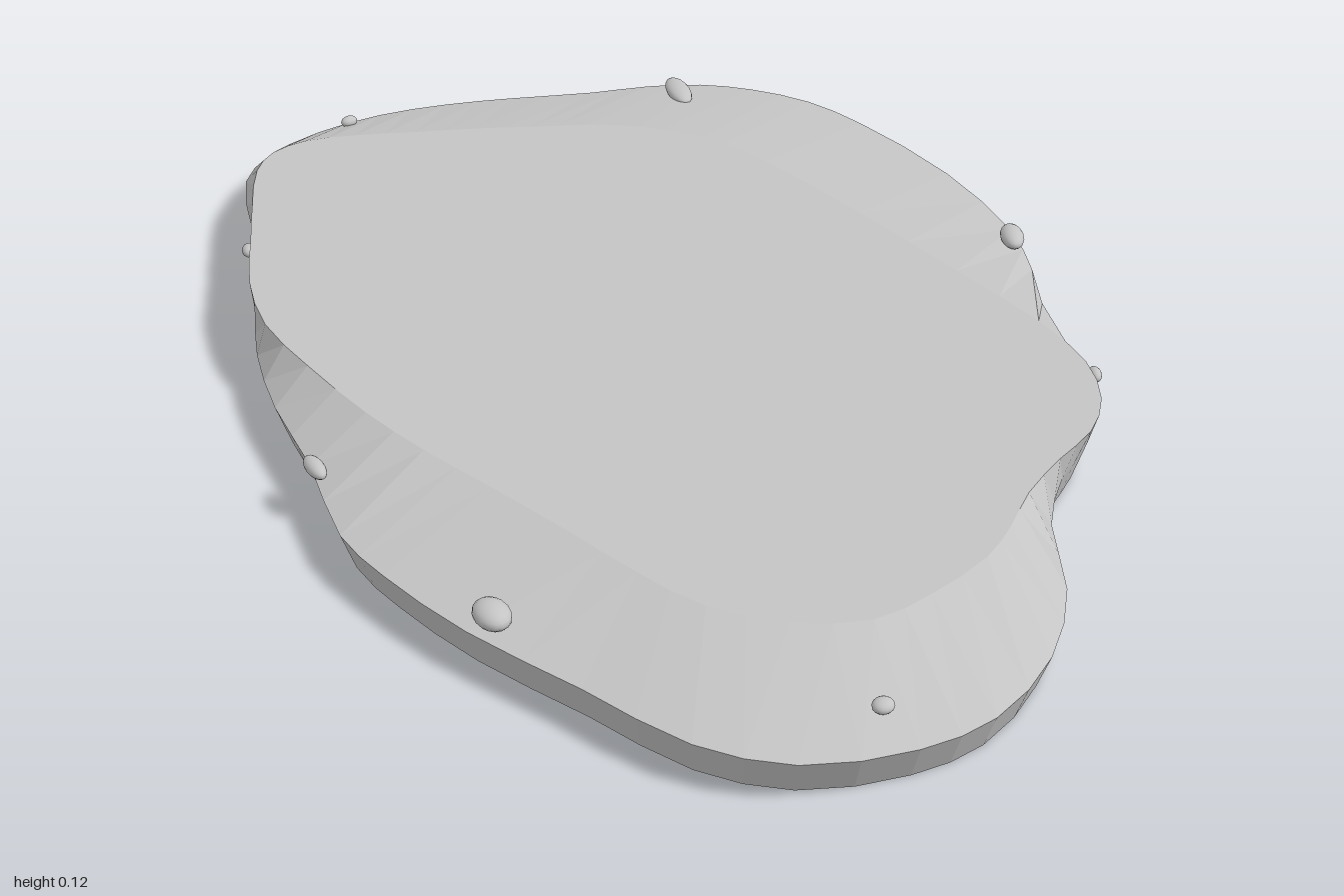
import * as THREE from 'three';

// paired outline points: rim x, rim z, plateau x, plateau z
const OUTLINE = [
  [-0.37, -0.755, -0.3, -0.45], [-0.5, -0.745, -0.4, -0.44], [-0.61, -0.7, -0.48, -0.41],
  [-0.69, -0.64, -0.55, -0.37], [-0.75, -0.56, -0.62, -0.3], [-0.8, -0.46, -0.68, -0.22],
  [-0.88, -0.33, -0.74, -0.14], [-0.94, -0.22, -0.8, -0.05], [-0.985, -0.1, -0.86, 0.04],
  [-1, 0.03, -0.9, 0.12], [-0.98, 0.15, -0.9, 0.19], [-0.92, 0.24, -0.86, 0.25],
  [-0.77, 0.325, -0.76, 0.325], [-0.66, 0.385, -0.65, 0.4], [-0.52, 0.48, -0.53, 0.48],
  [-0.4, 0.555, -0.4, 0.535], [-0.25, 0.62, -0.25, 0.555], [-0.08, 0.67, -0.08, 0.565],
  [0.1, 0.74, 0.06, 0.56], [0.22, 0.75, 0.2, 0.545], [0.4, 0.74, 0.36, 0.53],
  [0.6, 0.7, 0.5, 0.52], [0.78, 0.665, 0.62, 0.5], [0.9, 0.59, 0.72, 0.44],
  [0.98, 0.45, 0.79, 0.35], [1, 0.33, 0.8, 0.25], [0.96, 0.18, 0.79, 0.13],
  [0.87, 0.05, 0.76, 0.05], [0.75, -0.05, 0.72, -0.03], [0.68, -0.15, 0.69, -0.13],
  [0.64, -0.25, 0.67, -0.22], [0.55, -0.35, 0.62, -0.3], [0.4, -0.44, 0.53, -0.365],
  [0.22, -0.585, 0.4, -0.4], [0.1, -0.66, 0.2, -0.42], [-0.12, -0.73, -0.05, -0.44],
];
const STEPS = 72;

// smooth closed ring through one of the two outlines
function ring(offset, y, sx = 1, sz = 1) {
  const pts = OUTLINE.map((p) => new THREE.Vector3(p[offset] * sx, y, p[offset + 1] * sz));
  const curve = new THREE.CatmullRomCurve3(pts, true);
  return Array.from({ length: STEPS }, (_, i) => curve.getPoint(i / STEPS));
}

// faceted geometry from a list of triangle corners
function facets(corners) {
  const g = new THREE.BufferGeometry().setFromPoints(corners);
  g.computeVertexNormals();
  return g;
}

// band of faces joining a lower ring to an upper ring
function band(lower, upper) {
  const c = [];
  for (let i = 0; i < STEPS; i++) {
    const j = (i + 1) % STEPS;
    c.push(lower[i], lower[j], upper[j], lower[i], upper[j], upper[i]);
  }
  return facets(c);
}

export function createModel() {
  const group = new THREE.Group();
  group.name = 'stoneSlab';
  const stone = new THREE.MeshStandardMaterial({ color: 0xc4c4c4, side: THREE.DoubleSide });
  stone.name = 'pale grey stone';
  const add = (name, geometry) => {
    const mesh = new THREE.Mesh(geometry, stone);
    mesh.name = name;
    group.add(mesh);
    return mesh;
  };

  // shell, open underneath: flared wall, sloping shoulder, flat plateau
  const base = ring(0, 0, 0.97, 0.965);
  const rim = ring(0, 0.07);
  const top = ring(2, 0.12);
  add('sideWall', band(base, rim));
  add('shoulder', band(rim, top));
  const cap = [];
  const centre = new THREE.Vector3(0, 0.12, 0);
  top.forEach((p, i) => cap.push(centre, p, top[(i + 1) % STEPS]));
  add('plateau', facets(cap));

  // small pebbles set into the shoulder: x, y, z, half length, half height, half width, turn
  const pebbles = [
    [-0.665, 0.09, -0.563, 0.055, 0.013, 0.022, -0.45],
    [0.14, 0.088, -0.62, 0.038, 0.015, 0.02, -0.65],
    [0.535, 0.09, -0.385, 0.018, 0.01, 0.01, -0.6],
    [-0.97, 0.088, -0.02, 0.012, 0.01, 0.016, 0],
    [-0.67, 0.09, 0.393, 0.018, 0.01, 0.012, -0.5],
    [-0.045, 0.09, 0.683, 0.032, 0.012, 0.014, -0.2],
    [0.413, 0.09, 0.705, 0.035, 0.018, 0.026, -0.2],
    [0.905, 0.094, 0.445, 0.015, 0.01, 0.016, 0],
    [0.74, 0.09, -0.025, 0.014, 0.01, 0.01, -0.8],
  ];
  const ball = new THREE.SphereGeometry(1, 16, 10);
  for (const [x, y, z, a, b, c, turn] of pebbles) {
    const pebble = add('pebble', ball);
    pebble.position.set(x, y, z);
    pebble.scale.set(a, b, c);
    pebble.rotation.y = turn;
  }
  return group;
}
